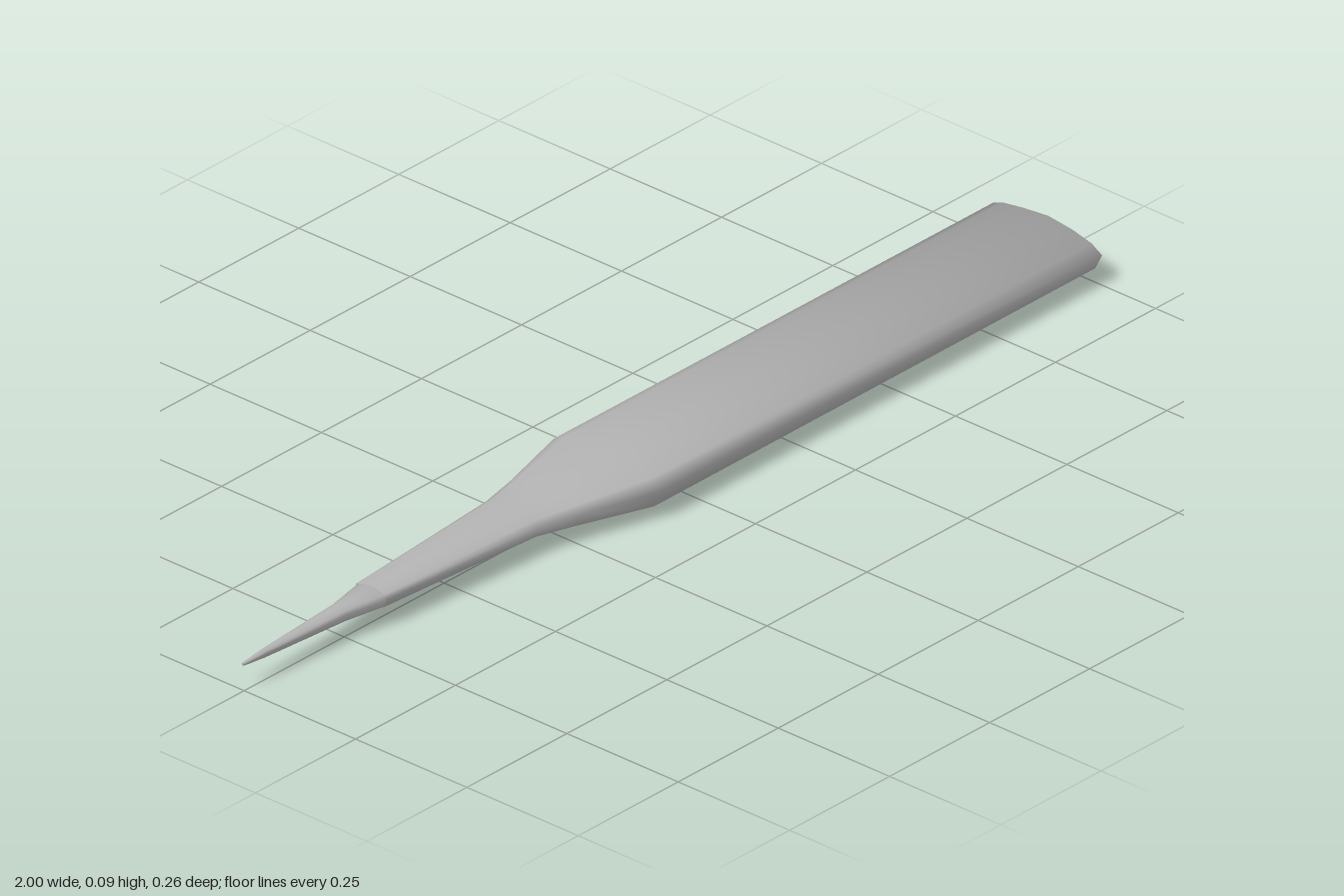
import * as THREE from 'three';

// Half of the lens-shaped cross-section as [z, y]; the other half is its point reflection.
const half = [[1, 0.24], [0.82, 0.59], [0.48, 0.85], [0.07, 1], [-0.36, 0.87], [-0.72, 0.7], [-0.88, 0.5]];
const section = [...half, ...half.map(([z, y]) => [-z, -y])];

// Lofts the section through stations [x, centreY, halfHeight, halfWidth, centreZ].
function loft(stations, roundEnd) {
  const n = section.length;
  const pos = [];
  const idx = [];
  for (const [x, cy, h, w, cz] of stations) {
    for (const [z, y] of section) pos.push(x, cy + y * h, cz + z * w);
  }
  const last = stations.length - 1;
  const startCap = pos.length / 3;
  for (const s of [stations[0], stations[last]]) pos.push(s[0], s[1], s[4]);
  for (let j = 0; j < n; j++) {
    const k = (j + 1) % n;
    for (let i = 0; i < last; i++) {
      const a = i * n + j, b = i * n + k;
      idx.push(a, a + n, b, b, a + n, b + n);
    }
    idx.push(startCap, j, k, startCap + 1, last * n + k, last * n + j);
  }
  const geo = new THREE.BufferGeometry();
  geo.setAttribute('position', new THREE.Float32BufferAttribute(pos, 3));
  geo.setIndex(idx);
  geo.computeVertexNormals();
  // Soften the shading over the rim of the end cap
  if (roundEnd) {
    const normal = geo.attributes.normal;
    const v = new THREE.Vector3();
    for (let j = last * n; j < (last + 1) * n; j++) {
      v.fromBufferAttribute(normal, j);
      v.x += 0.6;
      v.normalize();
      normal.setXYZ(j, v.x, v.y, v.z);
    }
  }
  return geo;
}

export function createModel() {
  const grey = new THREE.MeshStandardMaterial({ color: 0xb4b4b4 });
  grey.name = 'plain grey';
  const group = new THREE.Group();
  group.name = 'paddle';

  const add = (name, stations, roundEnd) => {
    const mesh = new THREE.Mesh(loft(stations, roundEnd), grey);
    mesh.name = name;
    group.add(mesh);
  };

  // Narrow pointed tip
  add('tip', [
    [-1, 0.051, 0.003, 0.003, -0.002],
    [-0.95, 0.051, 0.008, 0.007, -0.002],
    [-0.76, 0.05, 0.016, 0.019, -0.003],
    [-0.68, 0.05, 0.019, 0.035, -0.003],
  ], false);

  // Neck that flares into the flat blade
  add('neckAndBlade', [
    [-0.68, 0.051, 0.02, 0.037, -0.003],
    [-0.33, 0.052, 0.027, 0.063, -0.003],
    [-0.25, 0.05, 0.033, 0.083, -0.002],
    [-0.1, 0.047, 0.046, 0.128, -0.001],
    [1, 0.048, 0.041, 0.13, 0],
  ], true);

  return group;
}
